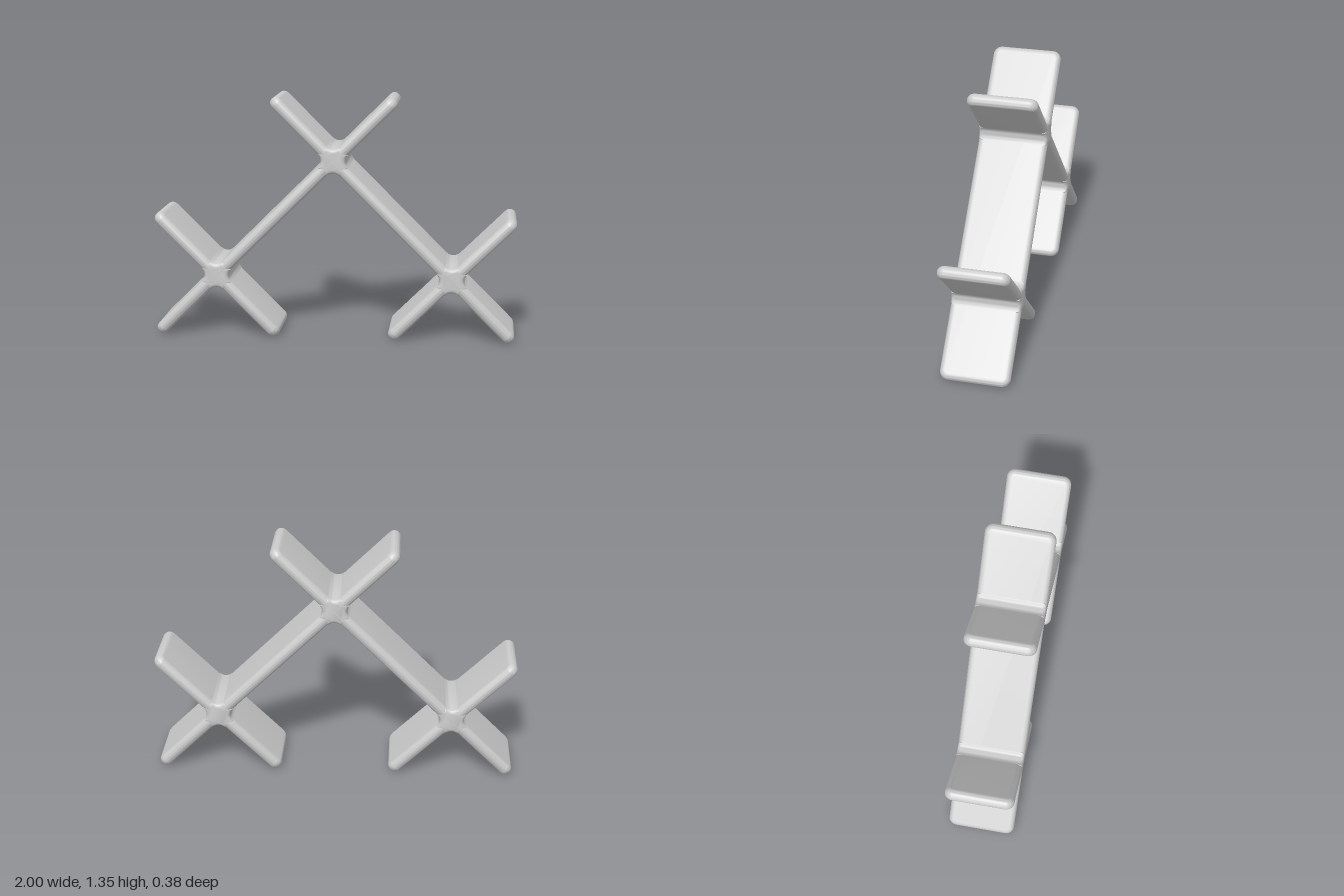
import * as THREE from 'three';
import { mergeVertices, toCreasedNormals } from 'three/addons/utils/BufferGeometryUtils.js';

const HALF_T = 0.033;   // half board thickness
const HALF_D = 0.19;    // half depth along z
const FILLET = 0.05;    // radius of the concave joint corners

function smooth(geometry) {
  geometry.deleteAttribute('uv');
  geometry.deleteAttribute('normal');
  return toCreasedNormals(mergeVertices(geometry, 1e-4), 0.8);
}

// Flat board with rounded corners and fully rounded edges, length along x
function boardGeometry(length) {
  const bevel = 0.03, r = 0.018;
  const a = length / 2 - bevel, b = HALF_D - bevel;
  const s = new THREE.Shape();
  s.moveTo(-a + r, -b);
  s.lineTo(a - r, -b);
  s.absarc(a - r, -b + r, r, -Math.PI / 2, 0);
  s.lineTo(a, b - r);
  s.absarc(a - r, b - r, r, 0, Math.PI / 2);
  s.lineTo(-a + r, b);
  s.absarc(-a + r, b - r, r, Math.PI / 2, Math.PI);
  s.lineTo(-a, -b + r);
  s.absarc(-a + r, -b + r, r, Math.PI, Math.PI * 1.5);
  const depth = 2 * (HALF_T - bevel);
  const g = new THREE.ExtrudeGeometry(s, {
    depth, curveSegments: 5, bevelEnabled: true,
    bevelSize: bevel, bevelThickness: bevel, bevelSegments: 6,
  });
  g.translate(0, 0, -depth / 2);
  g.rotateX(Math.PI / 2);
  return smooth(g);
}

// Four-armed star prism that softens the corners of a crossing
function jointGeometry() {
  const pts = [], c = HALF_T + FILLET, steps = 8, bevel = 0.02;
  for (let k = 0; k < 4; k++) {
    for (let i = 0; i <= steps; i++) {
      const t = Math.PI * 1.5 - (i / steps) * Math.PI / 2;
      const p = new THREE.Vector2(c + FILLET * Math.cos(t), c + FILLET * Math.sin(t));
      pts.push(p.rotateAround(new THREE.Vector2(), k * Math.PI / 2));
    }
  }
  const depth = 2 * (HALF_D - bevel);
  const g = new THREE.ExtrudeGeometry(new THREE.Shape(pts), {
    depth, bevelEnabled: true, bevelSize: bevel, bevelOffset: -bevel,
    bevelThickness: bevel, bevelSegments: 4,
  });
  g.translate(0, 0, -depth / 2);
  g.rotateZ(Math.PI / 4);
  return smooth(g);
}

export function createModel() {
  const model = new THREE.Group();
  const grey = new THREE.MeshStandardMaterial({ color: 0xcccccc });
  grey.name = 'plain grey';

  const add = (name, geometry, x, y, angle = 0) => {
    const mesh = new THREE.Mesh(geometry, grey);
    mesh.name = name;
    mesh.position.set(x, y, 0);
    mesh.rotation.z = angle;
    model.add(mesh);
  };

  // Lengths run between tip centres, plus the rounded tips
  const longBoard = boardGeometry(1.279 * Math.SQRT2 + 2 * HALF_T);
  const shortBoard = boardGeometry(0.629 * Math.SQRT2 + 2 * HALF_T);
  const joint = jointGeometry();

  // Mirrored boards: long ones cross at the top, short ones cross them lower down
  for (const [side, label] of [[1, 'left'], [-1, 'right']]) {
    add(label + 'LongBoard', longBoard, side * 0.3275, 0.6725, -side * Math.PI / 4);
    add(label + 'ShortBoard', shortBoard, side * 0.6525, 0.3475, side * Math.PI / 4);
    add(label + 'Joint', joint, side * 0.6525, 0.3475);
  }
  add('topJoint', joint, 0, 1);

  return model;
}
